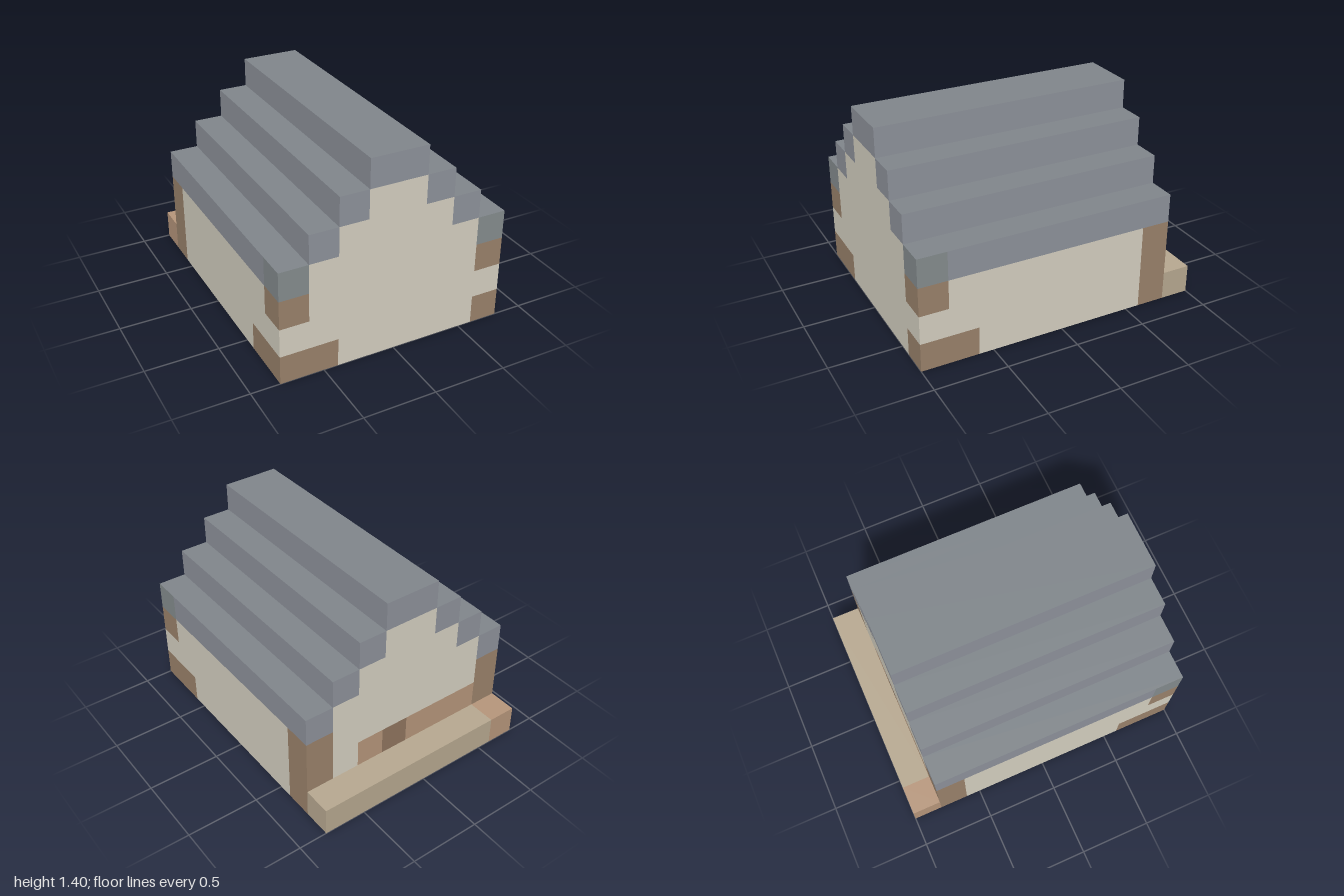
import * as THREE from 'three';

const U = 0.2; // size of one block
const COLORS = {
  S: 0x8d919a, // slate roof, upright
  T: 0x7f858a, // slate roof, treads
  E: 0x848b8d, // weathered slate at the eave ends
  C: 0xd3cebf, // plaster
  B: 0x99816a, // timber
  D: 0x8e745e, // dark timber
  L: 0xb5957a, // pale timber
  P: 0xb6a78f, // plank step
  F: 0x857568, // room floor
};
const materials = {};
for (const key in COLORS) {
  materials[key] = new THREE.MeshStandardMaterial({ color: COLORS[key], side: THREE.DoubleSide });
}
const FLAT = -Math.PI / 2, QUARTER = Math.PI / 2;

function panel(name, key, w, h, x, y, z, rx = 0, ry = 0) {
  const mesh = new THREE.Mesh(new THREE.PlaneGeometry(w, h), materials[key]);
  mesh.name = name;
  mesh.position.set(x, y, z);
  mesh.rotation.set(rx, ry, 0);
  return mesh;
}

// Wall from rows of block letters, top row first, as seen from outside
function wall(name, rows, top, x, z, turn) {
  const group = new THREE.Group();
  group.name = name;
  rows.forEach((row, r) => {
    for (let i = 0; i < row.length;) {
      let j = i + 1;
      while (j < row.length && row[j] === row[i]) j++;
      if (row[i] !== ' ') {
        group.add(panel(name + 'Blocks', row[i], (j - i) * U, U,
          ((i + j) / 2 - row.length / 2) * U, top - (r + 0.5) * U, 0));
      }
      i = j;
    }
  });
  group.position.set(x, 0, z);
  group.rotation.y = turn;
  return group;
}

// Stepped gable roof surface: treads and risers on both slopes, flat ridge
function steppedRoof(name, tread, riser, edge, eave, steps, length) {
  const group = new THREE.Group();
  group.name = name;
  for (const s of [-1, 1]) {
    for (let i = 0; i < steps; i++) {
      const y = eave + i * U, x = edge - (i + 0.5) * U;
      group.add(panel(name + 'Tread', tread, U, length, s * x, y, 0.1, FLAT));
      group.add(panel(name + 'Riser', riser, length, U, s * (x - U / 2), y + U / 2, 0.1, 0, s * QUARTER));
    }
  }
  group.add(panel(name + 'Ridge', tread, 2 * U, length, 0, eave + steps * U, 0.1, FLAT));
  return group;
}

export function createModel() {
  const model = new THREE.Group();
  model.name = 'house';

  // Gable walls
  const gable = ['   SS   ', '  SCCS  ', ' SCCCCS '];
  model.add(wall('frontWall', [...gable, 'ECCCCCCE', 'BCCCCCCB', 'CCCCCCCC', 'BBCCCCCB'], 1.4, 0, 1, 0));
  model.add(wall('backWall', [...gable, 'SCCCCCCS', 'BCCCCCCB', 'BCLDLLLB'], 1.4, 0, -0.8, Math.PI));

  // Long side walls
  const side = ['ESSSSSSSS', 'BCCCCCCCB', 'CCCCCCCCB', 'BBCCCCCCB'];
  const mirrored = side.map((row) => [...row].reverse().join(''));
  model.add(wall('leftWall', side, 0.8, 0.8, 0.1, QUARTER));
  model.add(wall('rightWall', mirrored, 0.8, -0.8, 0.1, -QUARTER));

  model.add(steppedRoof('roof', 'T', 'S', 0.8, 0.8, 3, 1.8));

  // Plank step along the back, open underneath
  const step = new THREE.Group();
  step.name = 'backStep';
  for (const [key, w, x] of [['L', U, -0.7], ['P', 7 * U, 0.1]]) {
    step.add(panel('stepTop', key, w, U, x, U, -0.9, FLAT));
    step.add(panel('stepFace', key, w, U, x, U / 2, -1, 0, Math.PI));
  }
  step.add(panel('stepLeftEnd', 'P', U, U, 0.8, U / 2, -0.9, 0, QUARTER));
  step.add(panel('stepRightEnd', 'L', U, U, -0.8, U / 2, -0.9, 0, -QUARTER));
  model.add(step);

  // Inner room, one block inside the shell, its floor seen from below
  const room = new THREE.Group();
  room.name = 'room';
  const innerGable = ['  CC  ', ' CCCC ', 'CCCCCC', 'CCCCCC'];
  room.add(panel('roomFloor', 'F', 1.2, 1.4, 0, U, 0.1, FLAT));
  room.add(wall('roomFrontWall', [...innerGable, 'CCCCCC'], 1.2, 0, 0.8, 0));
  room.add(wall('roomBackWall', [...innerGable, 'CLDLLL'], 1.2, 0, -0.6, Math.PI));
  for (const s of [-1, 1]) {
    room.add(panel('roomSideWall', 'C', 1.4, 0.6, s * 0.6, 0.5, 0.1, 0, s * QUARTER));
  }
  room.add(steppedRoof('roomCeiling', 'T', 'S', 0.6, 0.8, 2, 1.4));
  model.add(room);
  return model;
}
